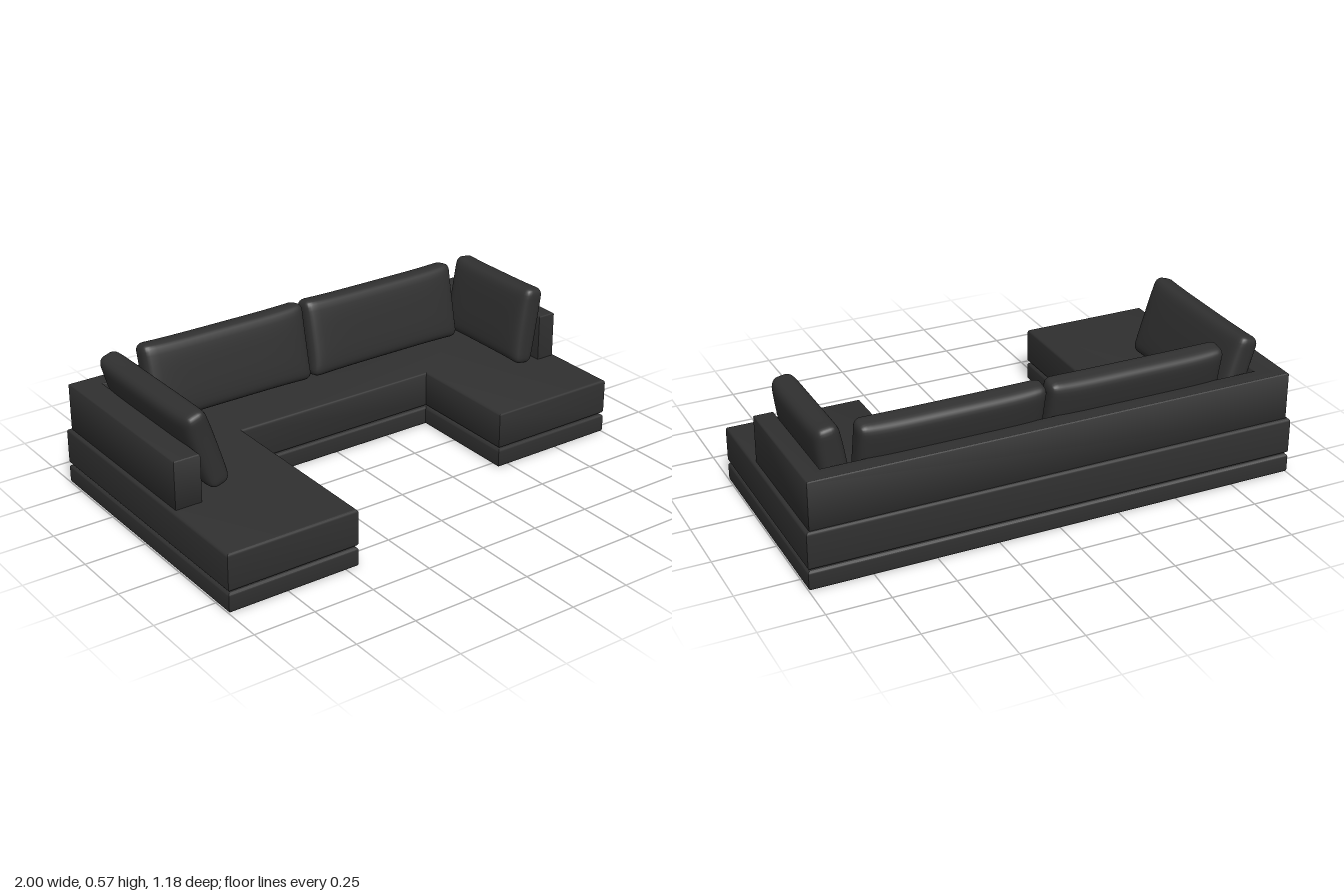
import * as THREE from 'three';
import { mergeVertices, toCreasedNormals } from 'three/addons/utils/BufferGeometryUtils.js';

const fabric = new THREE.MeshStandardMaterial({ color: 0x303030 });
fabric.name = 'charcoal fabric';

// Slab with softened edges: plan outline as [x, z] points, between two heights
function slab(name, outline, y0, y1, bevel) {
  const shape = new THREE.Shape(outline.map(([x, z]) => new THREE.Vector2(x, -z)));
  const geo = new THREE.ExtrudeGeometry(shape, {
    depth: y1 - y0 - 2 * bevel,
    bevelEnabled: true,
    bevelSize: bevel,
    bevelThickness: bevel,
    bevelOffset: -bevel,
    bevelSegments: 4,
  });
  geo.rotateX(-Math.PI / 2);
  geo.translate(0, y0 + bevel, 0);
  const mesh = new THREE.Mesh(toCreasedNormals(geo, 0.6), fabric);
  mesh.name = name;
  return mesh;
}

// Plump cushion: rounded box, thinner towards its rim, with slightly raised corners
function cushion(name, width, height, depth) {
  let geo = new THREE.BoxGeometry(2, 2, 2, 28, 20, 10);
  geo.deleteAttribute('uv');
  geo.deleteAttribute('normal');
  geo = mergeVertices(geo);
  const half = new THREE.Vector3(width / 2, height / 2, depth / 2);
  const r = 0.035;
  const inner = half.clone().subScalar(r);
  const pos = geo.attributes.position;
  const p = new THREE.Vector3();
  const core = new THREE.Vector3();
  const ease = (t) => Math.sin(t * Math.PI / 2);
  for (let i = 0; i < pos.count; i++) {
    p.fromBufferAttribute(pos, i);
    p.set(ease(p.x), ease(p.y), ease(p.z)).multiply(half);
    core.copy(p).clamp(inner.clone().negate(), inner);
    p.sub(core).setLength(r).add(core);
    const u = Math.min(1, Math.abs(p.x / half.x));
    const v = Math.min(1, Math.abs(p.y / half.y));
    p.z *= 0.66 + 0.34 * Math.sqrt((1 - u ** 6) * (1 - v ** 3));
    p.y *= 1 - 0.035 * (1 - u ** 4);
    p.x *= 1 - 0.012 * (1 - v ** 4);
    pos.setXYZ(i, p.x, p.y, p.z);
  }
  geo.computeVertexNormals();
  const mesh = new THREE.Mesh(geo, fabric);
  mesh.name = name;
  return mesh;
}

export function createModel() {
  const sofa = new THREE.Group();
  sofa.name = 'sectionalSofa';

  // U-shaped plinth and seat, with one long and one short chaise
  const seatPlan = [
    [-1, -0.59], [1, -0.59], [1, 0.295], [0.445, 0.295],
    [0.445, -0.185], [-0.45, -0.185], [-0.45, 0.59], [-1, 0.59],
  ];
  sofa.add(slab('plinth', seatPlan, 0, 0.08, 0.012));
  sofa.add(slab('seat', seatPlan, 0.085, 0.236, 0.012));

  // Low backrest wrapping round into both arms
  sofa.add(slab('backrestAndArms', [
    [-0.985, -0.577], [0.985, -0.577], [0.985, -0.02], [0.907, -0.02],
    [0.907, -0.5], [-0.875, -0.5], [-0.875, 0.218], [-0.985, 0.218],
  ], 0.232, 0.43, 0.006));

  // Two back cushions leaning on the backrest
  for (const x of [-0.36, 0.39]) {
    const back = cushion('backCushion', 0.745, 0.325, 0.12);
    back.position.set(x, 0.407, -0.445);
    back.rotation.x = -0.21;
    sofa.add(back);
  }

  // Side cushions leaning on the arms
  for (const [name, x, z, length, tilt] of [
    ['rightSideCushion', -0.815, -0.153, 0.68, 0.31],
    ['leftSideCushion', 0.842, -0.245, 0.495, -0.16],
  ]) {
    const side = cushion(name, length, 0.335, 0.115);
    side.position.set(x, 0.407, z);
    side.rotation.set(0, Math.PI / 2, tilt, 'ZYX');
    sofa.add(side);
  }
  return sofa;
}
